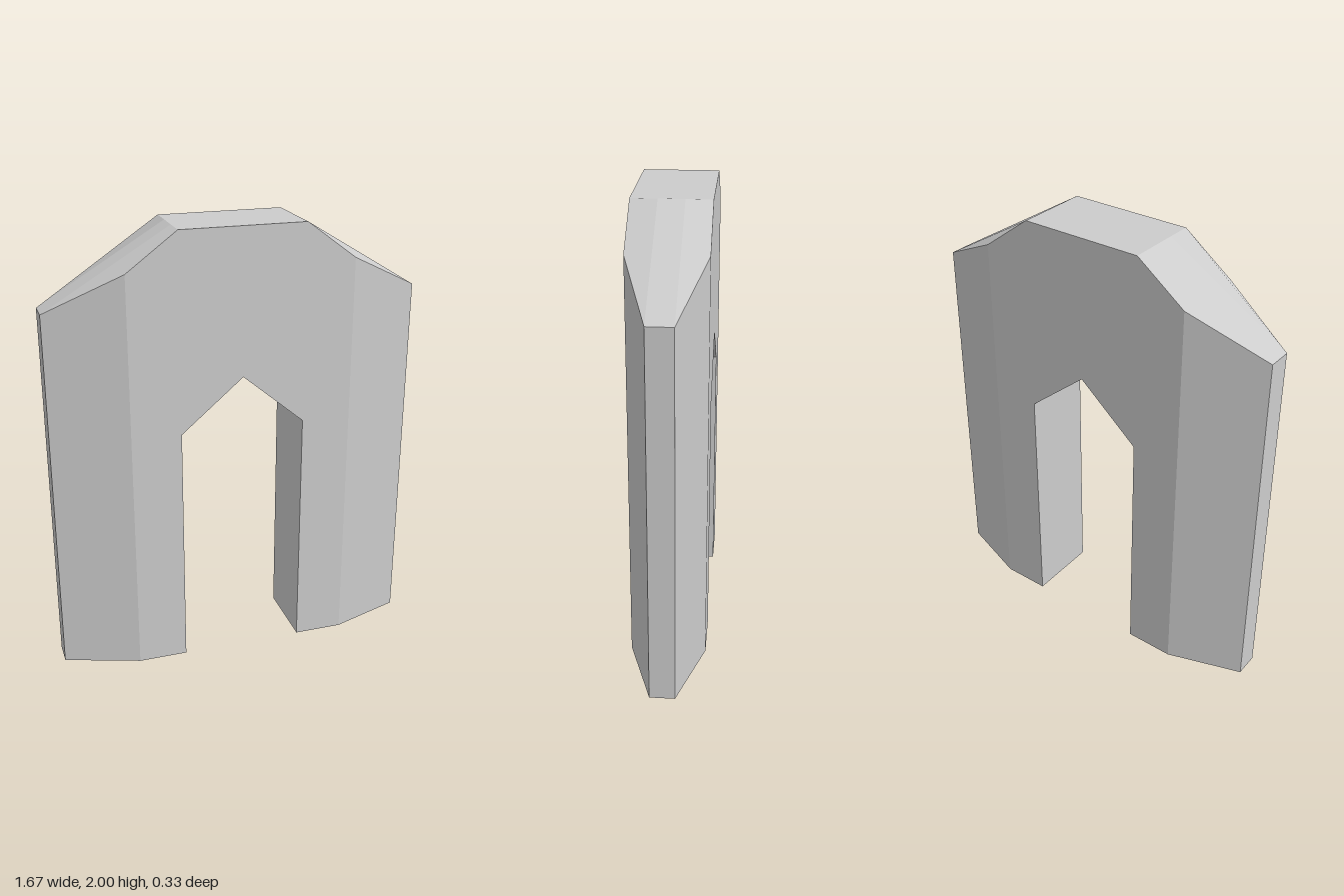
import * as THREE from 'three';

// Key dimensions
const IN = 0.278, MID = 0.5, OUT = 0.833; // x: opening edge, bevel start, outer edge
const D = 0.167, E = 0.055;               // half depth: body, outer edge
const TOP = 2, BEND = 1.835, EAVE = 1.667; // roof heights
const PEAK = 1.35, SPRING = 1.115;         // opening heights

// Faces of one quarter (x > 0, z > 0), corners counter-clockwise from outside
const parts = {
  span: [
    [[0, PEAK, D], [IN, SPRING, D], [IN, TOP, D], [0, TOP, D]],   // front
    [[0, TOP, D], [IN, TOP, D], [IN, TOP, 0], [0, TOP, 0]],       // flat top
    [[0, PEAK, 0], [IN, SPRING, 0], [IN, SPRING, D], [0, PEAK, D]], // pointed soffit
  ],
  leg: [
    [[IN, 0, D], [MID, 0, D], [MID, BEND, D], [IN, TOP, D]],      // front
    [[MID, 0, D], [OUT, 0, E], [OUT, EAVE, E], [MID, BEND, D]],   // tapered side
    [[OUT, 0, E], [OUT, 0, 0], [OUT, EAVE, 0], [OUT, EAVE, E]],   // narrow outer edge
    [[IN, 0, 0], [IN, 0, D], [IN, SPRING, D], [IN, SPRING, 0]],   // inner wall
    [[IN, 0, D], [IN, 0, 0], [OUT, 0, 0], [OUT, 0, E], [MID, 0, D]], // foot
  ],
  shoulder: [
    [[IN, TOP, D], [MID, BEND, D], [OUT, EAVE, E], [IN, TOP, E]], // bevelled strip
    [[IN, TOP, E], [OUT, EAVE, E], [OUT, EAVE, 0], [IN, TOP, 0]], // central strip
  ],
};

// Mirrors the faces by the given signs; each polygon gets one flat normal
function buildGeometry(faces, signs) {
  const position = [], normal = [];
  for (const [sx, sz] of signs) {
    for (const face of faces) {
      const p = face.map(([x, y, z]) => new THREE.Vector3(x * sx, y, z * sz));
      if (sx * sz < 0) p.reverse();
      // Keep the fan start on the same corner after reversing
      if (sx * sz < 0) p.unshift(p.pop());
      const n = new THREE.Vector3();
      p.forEach((a, i) => n.add(a.clone().cross(p[(i + 1) % p.length])));
      n.normalize();
      for (let i = 1; i < p.length - 1; i++) {
        for (const v of [p[0], p[i], p[i + 1]]) {
          position.push(v.x, v.y, v.z);
          normal.push(n.x, n.y, n.z);
        }
      }
    }
  }
  const g = new THREE.BufferGeometry();
  g.setAttribute('position', new THREE.Float32BufferAttribute(position, 3));
  g.setAttribute('normal', new THREE.Float32BufferAttribute(normal, 3));
  return g;
}

export function createModel() {
  const model = new THREE.Group();
  model.name = 'archway';
  const stone = new THREE.MeshStandardMaterial({ color: 0xcccccc });
  stone.name = 'light grey';

  const add = (name, faces, signs) => {
    const mesh = new THREE.Mesh(buildGeometry(faces, signs), stone);
    mesh.name = name;
    model.add(mesh);
  };

  // Span across the opening, then a leg and sloped shoulder on each side
  add('span', parts.span, [[1, 1], [1, -1], [-1, 1], [-1, -1]]);
  for (const [side, s] of [['left', 1], ['right', -1]]) {
    add(side + 'Leg', parts.leg, [[s, 1], [s, -1]]);
    add(side + 'Shoulder', parts.shoulder, [[s, 1], [s, -1]]);
  }
  return model;
}
